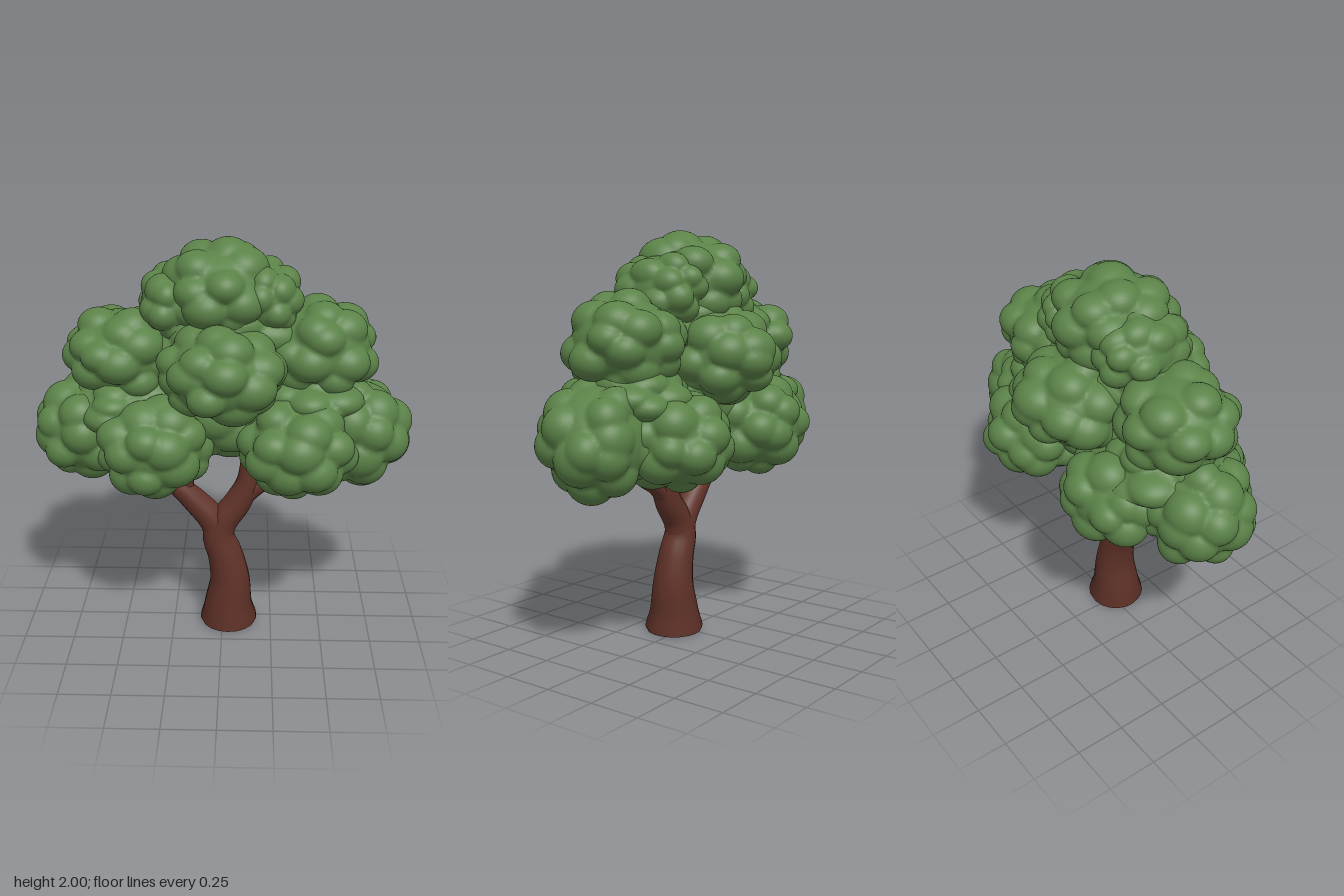
import * as THREE from 'three';
import { mergeVertices } from 'three/addons/utils/BufferGeometryUtils.js';

const foliageGreen = new THREE.MeshStandardMaterial({ color: 0x5b8248 });
foliageGreen.name = 'foliageGreen';
const barkBrown = new THREE.MeshStandardMaterial({ color: 0x613329 });
barkBrown.name = 'barkBrown';

// Small seeded generator
function seeded(seed) {
  let s = seed * 7919 + 17;
  return () => {
    s = (s * 16807) % 2147483647;
    return s / 2147483647;
  };
}

// Leaf clump: a ball whose surface is the outer skin of many small round puffs
function clumpGeometry(rx, ry, rz, seed) {
  const rand = seeded(seed);
  rand();
  const puffs = [];
  const count = 26;
  const spin = rand() * 6.28;
  for (let i = 0; i < count; i++) {
    const y = 1 - (2 * (i + 0.5)) / count;
    const a = i * 2.39996 + spin;
    const h = Math.sqrt(1 - y * y);
    const dir = new THREE.Vector3(
      h * Math.cos(a) + (rand() - 0.5) * 0.4,
      y + (rand() - 0.5) * 0.4,
      h * Math.sin(a) + (rand() - 0.5) * 0.4
    ).normalize();
    const size = 0.31 + rand() * 0.11;
    puffs.push({ size, centre: dir.multiplyScalar(1.03 - size - rand() * 0.07) });
  }
  let geo = new THREE.IcosahedronGeometry(1, 18);
  geo.deleteAttribute('uv');
  geo.deleteAttribute('normal');
  geo = mergeVertices(geo, 1e-4);
  const pos = geo.attributes.position;
  const d = new THREE.Vector3();
  for (let i = 0; i < pos.count; i++) {
    d.fromBufferAttribute(pos, i).normalize();
    let r = 0.82;
    for (const { size, centre } of puffs) {
      const along = d.dot(centre);
      const k = size * size - centre.lengthSq() + along * along;
      if (along > 0 && k > 0) r = Math.max(r, along + Math.sqrt(k));
    }
    pos.setXYZ(i, d.x * r * rx, d.y * r * ry, d.z * r * rz);
  }
  geo.computeVertexNormals();
  return geo;
}

// Tapered limb through points [x, y, radius], all at the same depth
const DEPTH = 0.046;
function limb(name, points, sides = 14) {
  const steps = 28;
  const curve = new THREE.CatmullRomCurve3(points.map(([x, y]) => new THREE.Vector3(x, y, DEPTH)));
  const radii = new THREE.CatmullRomCurve3(points.map(([, , r], i) => new THREE.Vector3(i, r, 0)));
  const geo = new THREE.TubeGeometry(curve, steps, 1, sides, false);
  const pos = geo.attributes.position;
  const v = new THREE.Vector3();
  for (let i = 0; i <= steps; i++) {
    const centre = curve.getPointAt(i / steps);
    const r = radii.getPoint(curve.getUtoTmapping(i / steps)).y;
    for (let j = 0; j <= sides; j++) {
      const n = i * (sides + 1) + j;
      v.fromBufferAttribute(pos, n).sub(centre).multiplyScalar(r).add(centre);
      pos.setXYZ(n, v.x, Math.max(0, v.y), v.z);
    }
  }
  const mesh = new THREE.Mesh(geo, barkBrown);
  mesh.name = name;
  return mesh;
}

export function createModel() {
  const tree = new THREE.Group();
  tree.name = 'tree';

  // Trunk, forked branches and the underside of the trunk
  const wood = new THREE.Group();
  wood.name = 'wood';
  wood.add(
    limb('trunk', [[0.032, 0, 0.136], [0.032, 0.025, 0.146], [0.031, 0.1, 0.124], [0.038, 0.24, 0.103],
      [0.014, 0.38, 0.089], [-0.02, 0.48, 0.081], [-0.024, 0.58, 0.068]], 18),
    limb('leftBranch', [[-0.018, 0.42, 0.066], [-0.042, 0.56, 0.071], [-0.13, 0.67, 0.065],
      [-0.23, 0.765, 0.052], [-0.4, 0.9, 0.04]]),
    limb('leftTwig', [[-0.17, 0.69, 0.045], [-0.18, 0.77, 0.037], [-0.16, 0.87, 0.032], [-0.15, 1, 0.028]]),
    limb('rightBranch', [[-0.018, 0.42, 0.066], [0.002, 0.56, 0.072], [0.075, 0.67, 0.069],
      [0.125, 0.78, 0.058], [0.135, 0.9, 0.046], [0.135, 1.02, 0.04]]),
    limb('rightTwig', [[0.1, 0.7, 0.05], [0.18, 0.765, 0.044], [0.28, 0.82, 0.04], [0.4, 0.93, 0.03]])
  );
  const base = new THREE.Mesh(new THREE.CircleGeometry(0.137, 18), barkBrown);
  base.name = 'trunkBase';
  base.rotation.x = Math.PI / 2;
  base.position.set(0.032, 0, DEPTH);
  wood.add(base);
  tree.add(wood);

  // Leaf clumps: name, centre, radii
  const clumps = [
    ['crownTop', [-0.01, 1.75, 0], [0.3, 0.25, 0.315]],
    ['crownRight', [-0.22, 1.69, 0], [0.2, 0.2, 0.25]],
    ['crownLeft', [0.2, 1.71, 0], [0.2, 0.2, 0.25]],
    ['upperRight', [-0.48, 1.445, 0], [0.3, 0.245, 0.295]],
    ['upperLeft', [0.46, 1.475, 0], [0.3, 0.255, 0.295]],
    ['upperFront', [0, 1.405, 0.23], [0.305, 0.25, 0.285]],
    ['upperBack', [0, 1.405, -0.23], [0.305, 0.25, 0.285]],
    ['outerRight', [-0.65, 1.065, 0], [0.29, 0.275, 0.275]],
    ['outerLeft', [0.645, 1.055, 0], [0.3, 0.295, 0.285]],
    ['lowerFrontRight', [-0.32, 1.045, 0.21], [0.295, 0.26, 0.275]],
    ['lowerFrontLeft', [0.355, 1.04, 0.21], [0.295, 0.26, 0.275]],
    ['lowerBackRight', [-0.32, 1.045, -0.21], [0.295, 0.26, 0.275]],
    ['lowerBackLeft', [0.355, 1.04, -0.21], [0.295, 0.26, 0.275]],
    ['fillRight', [-0.44, 1.18, 0], [0.32, 0.2, 0.34]],
    ['fillLeft', [0.44, 1.19, 0], [0.32, 0.2, 0.34]],
    ['fillUpper', [0, 1.52, 0], [0.42, 0.24, 0.27]],
    ['core', [0, 1.22, 0], [0.38, 0.31, 0.28]]
  ];
  const foliage = new THREE.Group();
  foliage.name = 'foliage';
  clumps.forEach(([name, centre, radii], i) => {
    const mesh = new THREE.Mesh(clumpGeometry(...radii, i + 3), foliageGreen);
    mesh.name = name + 'Clump';
    mesh.position.set(...centre);
    foliage.add(mesh);
  });
  tree.add(foliage);
  return tree;
}
